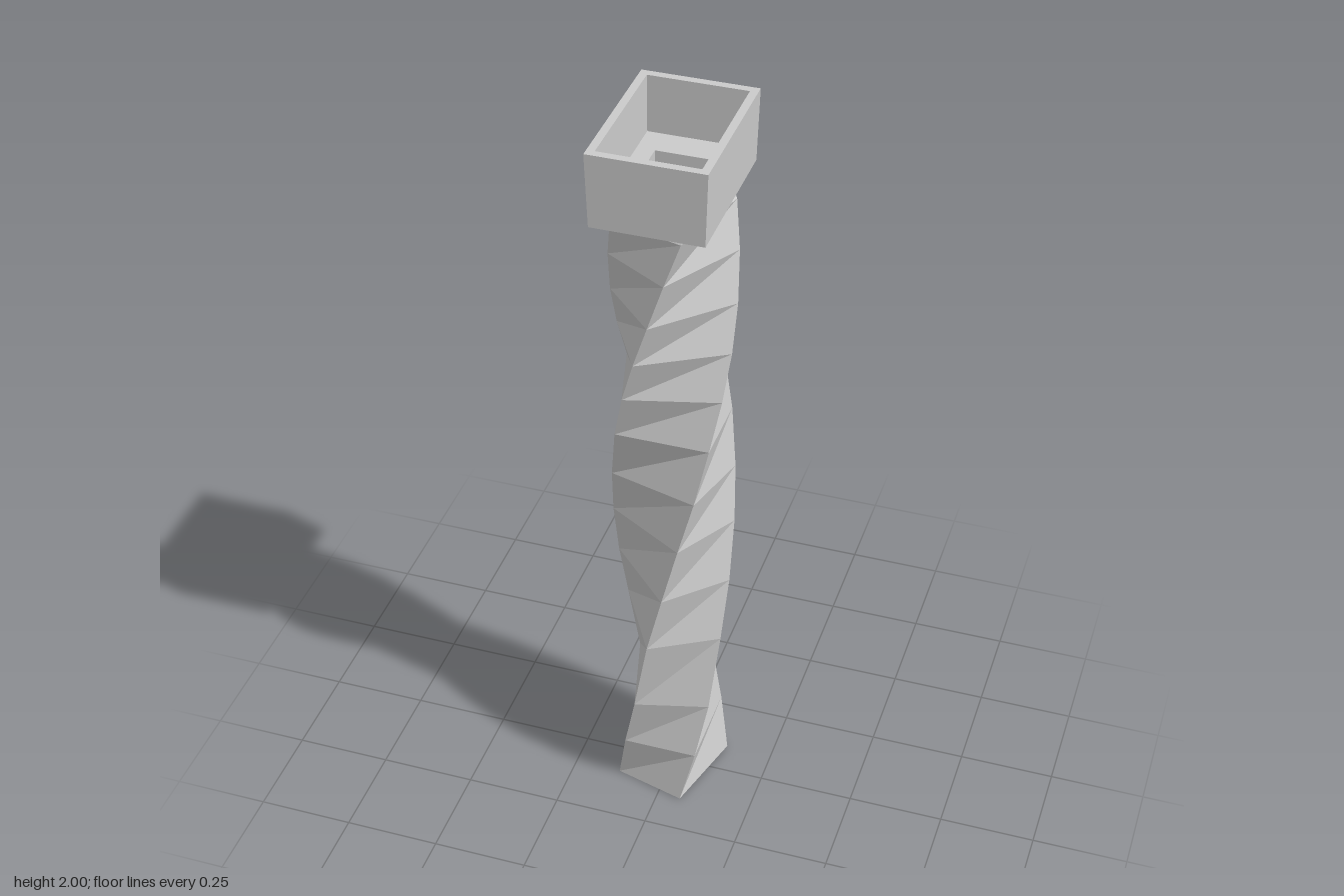
import * as THREE from 'three';

const material = new THREE.MeshStandardMaterial({ color: 0xcccccc, flatShading: true });

// Closed loft through rectangles [halfX, halfZ, y, turn], running up the outside and down the inside
function loftRects(name, sections) {
  const rings = sections.map(([hx, hz, y, turn = 0]) =>
    [[1, 1], [1, -1], [-1, -1], [-1, 1]].map(([sx, sz]) =>
      new THREE.Vector3(sx * hx, y, sz * hz).applyAxisAngle(new THREE.Vector3(0, 1, 0), turn)));
  const points = [];
  rings.forEach((ring, k) => {
    const next = rings[(k + 1) % rings.length];
    const goingDown = next[0].y < ring[0].y;
    for (let i = 0; i < 4; i++) {
      const j = (i + 1) % 4;
      const a = ring[i], b = ring[j], c = next[j], d = next[i];
      // The diagonal follows the twist on both the outer and inner skin
      if (goingDown) points.push(a, b, d, b, c, d);
      else points.push(a, b, c, a, c, d);
    }
  });
  const geometry = new THREE.BufferGeometry().setFromPoints(points);
  geometry.computeVertexNormals();
  const mesh = new THREE.Mesh(geometry, material);
  mesh.name = name;
  return mesh;
}

export function createModel() {
  const model = new THREE.Group();
  model.name = 'twistedColumn';

  // Hollow shaft: each level turns a further 15 degrees, ending square to the cap
  const levels = [0, 0.15, 0.31, 0.525, 0.695, 0.86, 1.005, 1.155, 1.285, 1.405, 1.525, 1.65, 1.765, 1.81];
  const step = THREE.MathUtils.degToRad(15);
  const skin = (hx, hz) => levels.map((y, k) => [hx, hz, y, (k - levels.length + 1) * step]);
  model.add(loftRects('twistedShaft', [...skin(0.0975, 0.121), ...skin(0.08, 0.1035).reverse()]));

  // Open box on top, with a hole in its floor leading into the shaft
  model.add(loftRects('boxCap', [
    [0.08, 0.1035, 1.81],
    [0.139, 0.2, 1.81],
    [0.145, 0.202, 2],
    [0.125, 0.182, 2],
    [0.125, 0.182, 1.85],
    [0.08, 0.1035, 1.85],
  ]));

  return model;
}
